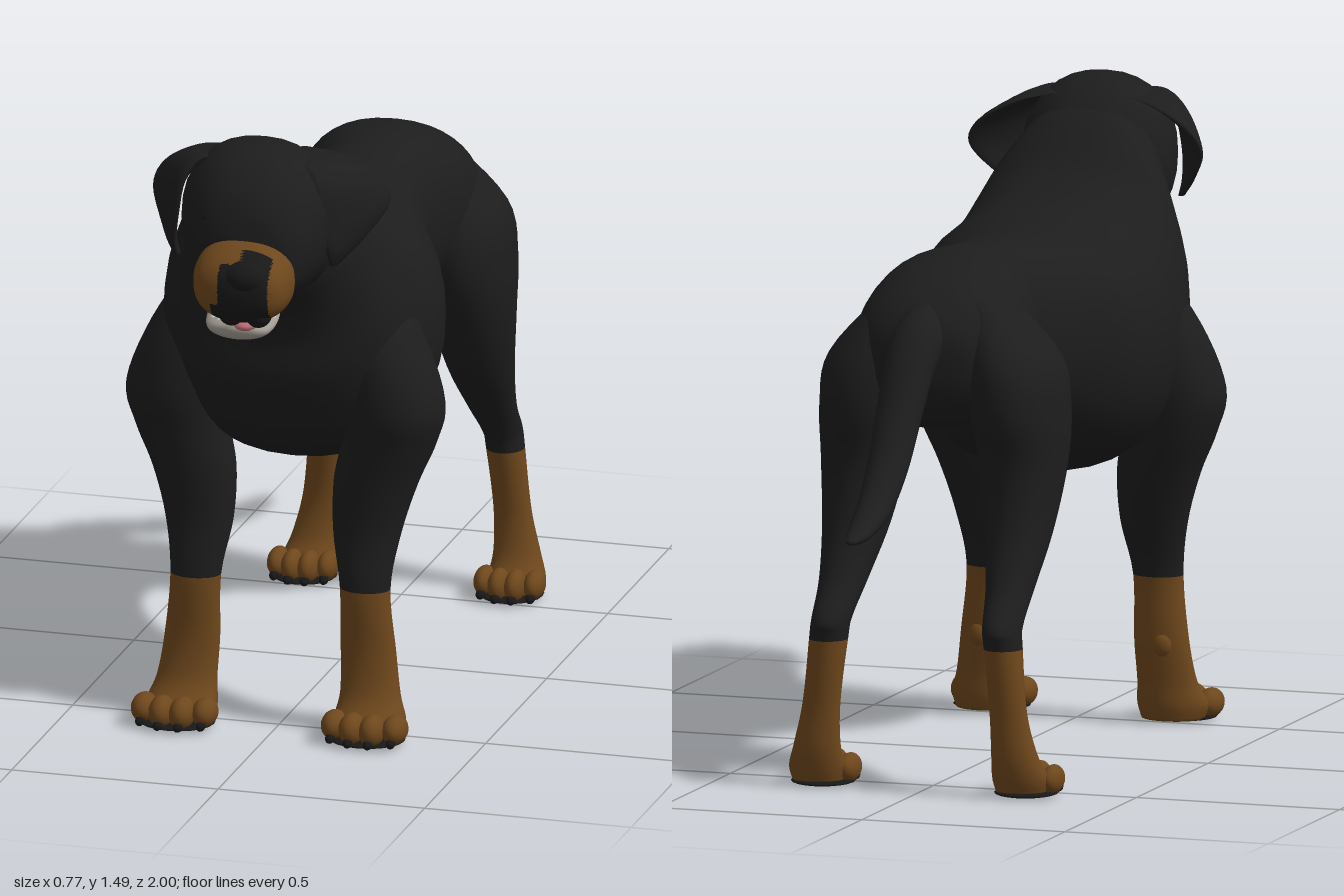
import * as THREE from 'three';

const mat = (name, hex) => {
  const m = new THREE.MeshStandardMaterial({ color: hex });
  m.name = name;
  return m;
};

// Smooth closed skin over oval rings. Each ring: [ax,ay,az, bx,by,bz, halfWidth];
// a and b are opposite points of the oval, the width runs along x.
// power > 2 makes the ovals squarer; faces where paint(centre) holds use the second material.
function loft(rings, { side = 1, sub = 5, seg = 32, power = 2, paint } = {}) {
  const curve = (f) => new THREE.CatmullRomCurve3(rings.map(f), false, 'catmullrom');
  const cA = curve((r) => new THREE.Vector3(r[0] * side, r[1], r[2]));
  const cB = curve((r) => new THREE.Vector3(r[3] * side, r[4], r[5]));
  const cW = curve((r) => new THREE.Vector3(r[6], 0, 0));
  const rows = (rings.length - 1) * sub;
  const pos = [], tris = [];
  const bend = (v) => Math.sign(v) * Math.pow(Math.abs(v), 2 / power);
  for (let i = 0; i <= rows; i++) {
    const t = i / rows;
    const a = cA.getPoint(t), b = cB.getPoint(t), w = Math.max(cW.getPoint(t).x, 0.002);
    const mid = a.clone().add(b).multiplyScalar(0.5), half = a.clone().sub(b).multiplyScalar(0.5);
    for (let j = 0; j < seg; j++) {
      const q = (j / seg) * Math.PI * 2;
      const p = mid.clone().addScaledVector(half, bend(Math.cos(q)));
      pos.push(p.x + w * bend(Math.sin(q)), p.y, p.z);
    }
  }
  const centre = (t) => {
    const p = cA.getPoint(t).add(cB.getPoint(t)).multiplyScalar(0.5);
    pos.push(p.x, p.y, p.z);
    return pos.length / 3 - 1;
  };
  const first = centre(0), last = centre(1);
  for (let j = 0; j < seg; j++) {
    const k = (j + 1) % seg;
    tris.push([first, k, j], [last, rows * seg + j, rows * seg + k]);
    for (let i = 0; i < rows; i++) {
      const p = i * seg, n = p + seg;
      tris.push([p + j, p + k, n + j], [p + k, n + k, n + j]);
    }
  }
  // turn the skin outward if its signed volume is negative
  const v = (i) => new THREE.Vector3().fromArray(pos, i * 3);
  const volume = tris.reduce((s, [a, b, c]) => s + v(a).dot(v(b).cross(v(c))), 0);
  if (volume < 0) tris.forEach((t) => t.reverse());
  const g = new THREE.BufferGeometry();
  g.setAttribute('position', new THREE.Float32BufferAttribute(pos, 3));
  if (paint) {
    const painted = ([a, b, c]) => paint(v(a).add(v(b)).add(v(c)).divideScalar(3));
    const plain = tris.filter((t) => !painted(t)), rest = tris.filter(painted);
    g.setIndex([...plain, ...rest].flat());
    g.addGroup(0, plain.length * 3, 0);
    g.addGroup(plain.length * 3, rest.length * 3, 1);
  } else g.setIndex(tris.flat());
  g.computeVertexNormals();
  return g;
}

// ring in the middle plane: top (z,y), bottom (z,y), half width, x offset
const spine = ([tz, ty, bz, by, w, x = 0.01]) => [x, ty, tz, x, by, bz, w];
// level ring of a leg: height, x, front z, back z, half width
const level = ([y, x, f, b, w]) => [x, y, f, x, y, b, w];

export function createModel() {
  const model = new THREE.Group();
  const coat = mat('black coat', 0x1d1d1d);
  const tan = mat('tan fur', 0x6e471c);
  const dark = mat('nose and claws', 0x181818);
  const gum = mat('grey lower jaw', 0xa39d95);
  const ivory = mat('teeth', 0xdedad0);
  const pink = mat('tongue', 0xc4727a);

  const add = (name, geo, material) => {
    const m = new THREE.Mesh(geo, material);
    m.name = name;
    model.add(m);
    return m;
  };
  const blob = (name, material, [x, y, z], [rx, ry, rz], tilt = 0) => {
    const m = add(name, new THREE.SphereGeometry(1, 20, 14), material);
    m.position.set(x, y, z);
    m.scale.set(rx, ry, rz);
    m.rotation.x = tilt;
  };

  // body from rump to throat
  add('body', loft([
    [-0.56, 1.01, -0.555, 0.95, 0.02, 0.02], [-0.535, 1.1, -0.52, 0.88, 0.13, 0.02],
    [-0.45, 1.175, -0.44, 0.83, 0.195, 0.02], [-0.3, 1.225, -0.28, 0.83, 0.205, 0.02],
    [-0.15, 1.223, -0.15, 0.81, 0.165, 0.018], [0, 1.213, 0, 0.75, 0.205, 0.015],
    [0.13, 1.213, 0.12, 0.67, 0.28], [0.23, 1.235, 0.25, 0.622, 0.312],
    [0.3, 1.25, 0.38, 0.62, 0.31, 0.005], [0.36, 1.275, 0.52, 0.7, 0.295, 0],
    [0.42, 1.31, 0.595, 0.85, 0.27, 0], [0.48, 1.37, 0.605, 0.97, 0.232, 0],
    [0.53, 1.415, 0.64, 1.05, 0.195, 0], [0.6, 1.45, 0.71, 1.11, 0.16, 0.005],
  ].map(spine), { power: 2.25, seg: 40 }), coat);
  blob('sheath', coat, [0.01, 0.79, -0.135], [0.03, 0.035, 0.075], 0.5);

  // head turned slightly to its left, with a tan muzzle that is black around the nose
  add('head', loft([
    [0.46, 1.33, 0.55, 1.1, 0.1, 0], [0.58, 1.455, 0.64, 1.09, 0.175, 0],
    [0.68, 1.49, 0.7, 1.11, 0.183, 0.005], [0.78, 1.475, 0.77, 1.125, 0.17, 0.018],
    [0.845, 1.43, 0.82, 1.135, 0.142, 0.026], [0.88, 1.375, 0.85, 1.14, 0.115, 0.03],
    [0.895, 1.32, 0.86, 1.16, 0.09, 0.03], [0.9, 1.29, 0.865, 1.18, 0.02, 0.03],
  ].map(spine), { power: 2.25 }), coat);
  const nearNose = ({ x, y, z }) =>
    z > (y > 1.27 ? 0.928 : 0.945) && x > (y > 1.275 ? 0.04 : y > 1.18 ? -0.005 : -0.025) && x < 0.113;
  add('muzzle', loft([
    [0.845, 1.305, 0.845, 1.125, 0.11, 0.028], [0.88, 1.312, 0.87, 1.118, 0.118, 0.03],
    [0.925, 1.303, 0.92, 1.122, 0.116, 0.033], [0.965, 1.28, 0.962, 1.135, 0.1, 0.036],
    [0.988, 1.25, 0.985, 1.16, 0.065, 0.038], [0.995, 1.21, 0.993, 1.19, 0.015, 0.04],
  ].map(spine), { power: 2.3, sub: 10, seg: 72, paint: nearNose }), [tan, dark]);
  blob('nose', dark, [0.055, 1.243, 0.953], [0.06, 0.042, 0.047]);
  for (const x of [0.015, 0.08]) blob('frontLip', dark, [x, 1.152, 0.94], [0.032, 0.034, 0.033]);
  add('lowerJaw', loft([
    [0.78, 1.17, 0.78, 1.14, 0.07, 0.012], [0.83, 1.138, 0.83, 1.09, 0.086, 0.013],
    [0.88, 1.12, 0.88, 1.068, 0.078, 0.014], [0.91, 1.112, 0.905, 1.073, 0.052, 0.015],
    [0.918, 1.1, 0.917, 1.09, 0.01, 0.015],
  ].map(spine)), gum);
  blob('tongue', pink, [0.035, 1.118, 0.866], [0.042, 0.021, 0.06], 0.22);
  for (let i = 0; i <= 10; i++) {
    const q = Math.PI * (i / 10);
    const tooth = add('tooth', new THREE.ConeGeometry(0.009, i === 3 || i === 7 ? 0.04 : 0.028, 8), ivory);
    tooth.position.set(0.014 + 0.078 * Math.cos(q), 1.137 - 0.02 * Math.sin(q), 0.83 + 0.07 * Math.sin(q));
  }

  // tail
  add('tail', loft([
    [-0.46, 1.15, -0.48, 1.0, 0.055, 0.02], [-0.565, 1.11, -0.54, 0.985, 0.062, 0.022],
    [-0.635, 1.035, -0.573, 0.945, 0.059, 0.026], [-0.697, 0.922, -0.63, 0.852, 0.054, 0.03],
    [-0.767, 0.815, -0.705, 0.757, 0.049, 0.03], [-0.845, 0.735, -0.808, 0.674, 0.042, 0.03],
    [-0.93, 0.683, -0.92, 0.643, 0.031, 0.03], [-0.99, 0.658, -0.985, 0.642, 0.015, 0.03],
    [-1, 0.652, -1, 0.645, 0.003, 0.03],
  ].map(spine), { seg: 20 }), coat);

  const foreLeg = [
    [1.1, 0.18, 0.47, 0.3, 0.05], [0.95, 0.225, 0.54, 0.315, 0.1],
    [0.8, 0.262, 0.558, 0.333, 0.12], [0.7, 0.25, 0.54, 0.35, 0.112],
    [0.6, 0.22, 0.527, 0.375, 0.1], [0.48, 0.203, 0.521, 0.41, 0.081],
    [0.35, 0.205, 0.536, 0.443, 0.06], [0.2, 0.213, 0.531, 0.448, 0.066],
    [0.1, 0.222, 0.55, 0.457, 0.072], [0.045, 0.228, 0.595, 0.458, 0.085],
    [0.008, 0.228, 0.595, 0.465, 0.075],
  ].map(level);
  const hindLeg = [
    [1.14, 0.1, -0.3, -0.47, 0.05], [1.0, 0.165, -0.24, -0.545, 0.11],
    [0.88, 0.185, -0.23, -0.556, 0.112], [0.75, 0.195, -0.275, -0.525, 0.1],
    [0.6, 0.2, -0.355, -0.54, 0.078], [0.48, 0.205, -0.455, -0.59, 0.056],
    [0.4, 0.21, -0.525, -0.655, 0.045], [0.35, 0.215, -0.55, -0.649, 0.045],
    [0.2, 0.23, -0.573, -0.639, 0.045], [0.1, 0.243, -0.558, -0.64, 0.056],
    [0.045, 0.25, -0.52, -0.632, 0.068], [0.008, 0.25, -0.52, -0.62, 0.06],
  ].map(level);
  const belowSock = ({ y }) => y < 0.35;

  for (const [side, label] of [[1, 'left'], [-1, 'right']]) {
    // drooping ear: front edge and back edge of the flap; the left one sits further back
    const ear = add(label + 'Ear', loft([
      [0.08, 1.455, 0.72, 0.08, 1.45, 0.61, 0.02], [0.125, 1.448, 0.755, 0.16, 1.432, 0.585, 0.028],
      [0.155, 1.4, 0.78, 0.245, 1.385, 0.57, 0.024], [0.165, 1.32, 0.78, 0.275, 1.325, 0.585, 0.018],
      [0.178, 1.25, 0.765, 0.228, 1.25, 0.645, 0.015], [0.178, 1.205, 0.74, 0.185, 1.205, 0.7, 0.008],
    ], { side, seg: 20 }), coat);
    if (side > 0) ear.position.set(0.01, 0, -0.025);
    blob(label + 'Eye', dark, [0.025 + side * 0.088, 1.348, 0.855], [0.018, 0.012, 0.014]);

    add(label + 'ForeLeg', loft(foreLeg, { side, paint: belowSock }), [coat, tan]);
    const hind = add(label + 'HindLeg', loft(hindLeg, { side, paint: belowSock }), [coat, tan]);
    hind.position.x = 0.008;
    blob(label + 'WristPad', tan, [side * 0.225, 0.19, 0.46], [0.025, 0.03, 0.02]);

    // paws: four toes with claws, and a dark sole
    for (const [name, x, z, w] of [['Fore', 0.23, 0.588, 1], ['Hind', 0.25, -0.533, 0.82]]) {
      for (let i = 0; i < 4; i++) {
        const outer = i % 3 === 0, o = (i - 1.5) * 0.049 * w, lead = outer ? -0.01 : 0.012;
        blob(label + name + 'Toe', tan, [side * (x + o), 0.04, z + lead], [0.03 * w, outer ? 0.034 : 0.038, 0.046]);
        blob(label + name + 'Claw', dark, [side * (x + o), 0.017, z + lead + 0.036], [0.011, 0.012, 0.016], 0.3);
      }
      blob(label + name + 'Sole', dark, [side * x, 0.009, z - 0.025], [0.092 * w, 0.009, 0.08]);
    }
  }
  return model;
}
